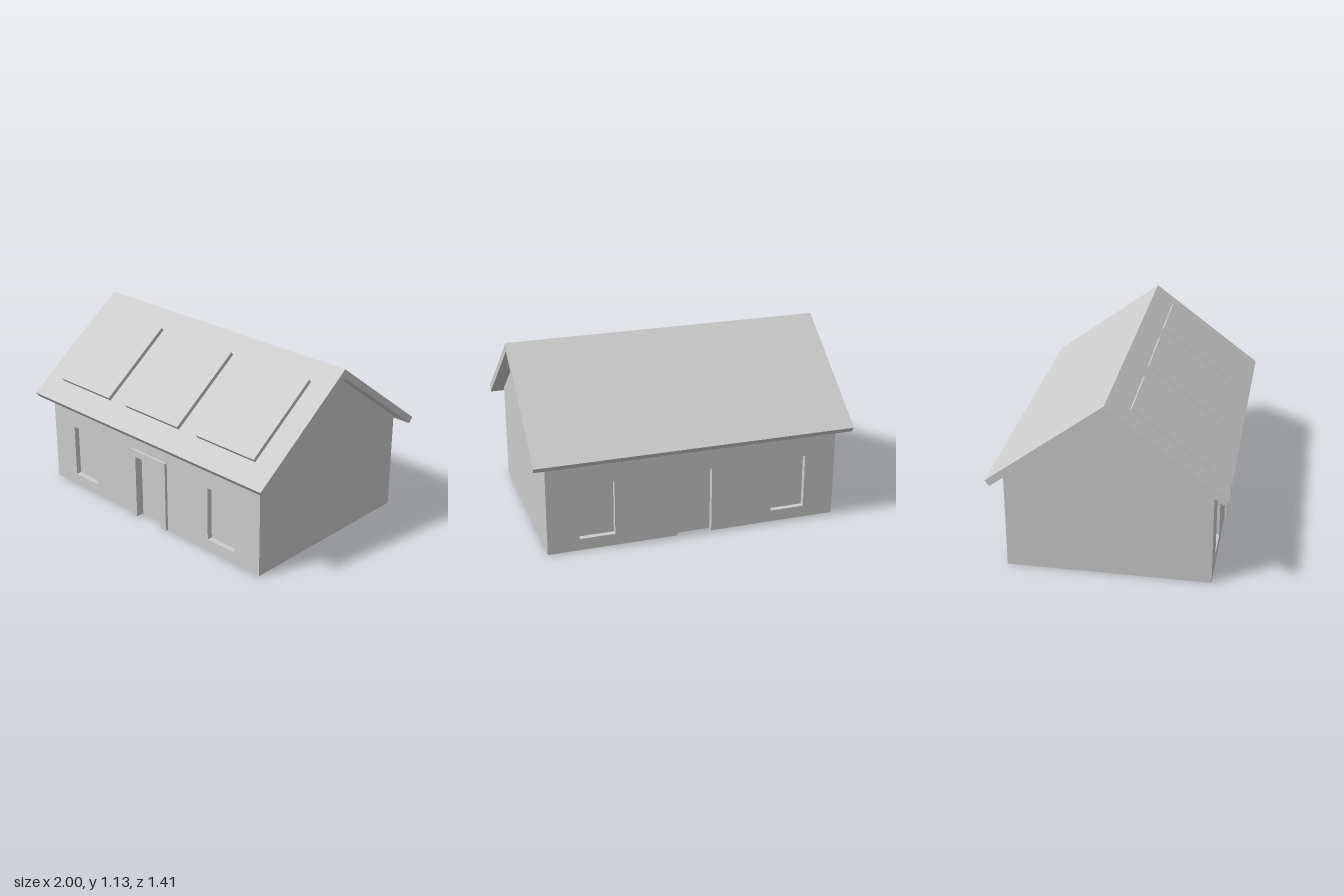
import * as THREE from 'three';

const material = new THREE.MeshStandardMaterial({ color: 0xcccccc, flatShading: true });

const HALF_X = 0.92, HALF_Z = 0.617, RECESS = 0.034; // wall extents, depth of openings
const RIDGE = 1.135, EAVE_Z = 0.705, EAVE_Y = 0.608; // top line of the roof
const PITCH = Math.atan2(RIDGE - EAVE_Y, EAVE_Z);
const WALL_TOP = 0.62;

const shapeOf = (pts) => new THREE.Shape(pts.map(([x, y]) => new THREE.Vector2(x, y)));

const rect = (x0, y0, x1, y1) => [[x0, y0], [x1, y0], [x1, y1], [x0, y1]];

const extrude = (shape, depth) =>
  new THREE.ExtrudeGeometry(shape, { depth, bevelEnabled: false });

// Extrudes a (z, y) profile along x, centred; the profile is symmetric in z
const alongX = (pts, length) =>
  extrude(shapeOf(pts), length).translate(0, 0, -length / 2).rotateY(Math.PI / 2);

// Outline that stands on the ground with a doorway cut up from its base
const doorOutline = (halfW, h, doorHalf, doorH) => [
  [-halfW, 0], [-doorHalf, 0], [-doorHalf, doorH], [doorHalf, doorH],
  [doorHalf, 0], [halfW, 0], [halfW, h], [-halfW, h],
];

export function createModel() {
  const model = new THREE.Group();
  const add = (name, geometry, parent = model) => {
    const mesh = new THREE.Mesh(geometry, material);
    mesh.name = name;
    parent.add(mesh);
    return mesh;
  };

  // House body with gable ends; its long sides form the backs of the openings
  const inner = HALF_Z - RECESS;
  add('houseBody', alongX([
    [-inner, 0], [inner, 0], [inner, WALL_TOP], [HALF_Z, WALL_TOP],
    [0, 1.08], [-HALF_Z, WALL_TOP], [-inner, WALL_TOP],
  ], 2 * HALF_X));

  // Front and back walls with a doorway and two window openings
  for (const [name, turn] of [['frontWall', 0], ['backWall', Math.PI]]) {
    const wall = shapeOf(doorOutline(HALF_X, WALL_TOP, 0.11, 0.42));
    for (const s of [-1, 1]) {
      const x = s * 0.613;
      wall.holes.push(shapeOf(rect(x - 0.11, 0.075, x + 0.11, 0.42)));
    }
    add(name, extrude(wall, RECESS).translate(0, 0, inner)).rotation.y = turn;
  }

  // Raised surround of the front door
  add('doorFrame', extrude(shapeOf(doorOutline(0.155, 0.462, 0.11, 0.42)), 0.018)
    .translate(0, 0, HALF_Z));

  // Pitched roof slab with square-cut eaves
  add('roof', alongX([
    [0, RIDGE], [-EAVE_Z, EAVE_Y], [-0.678, 0.574],
    [0, 1.08], [0.678, 0.574], [EAVE_Z, EAVE_Y],
  ], 2));

  // Three flat panels lying on the front roof slope
  const panels = new THREE.Group();
  panels.name = 'roofPanels';
  panels.position.set(0, RIDGE, 0);
  panels.rotation.x = PITCH;
  for (const i of [-1, 0, 1]) {
    add('roofPanel', new THREE.BoxGeometry(0.46, 0.035, 0.58), panels)
      .position.set(i * 0.617, 0.0075, 0.437);
  }
  model.add(panels);

  return model;
}
